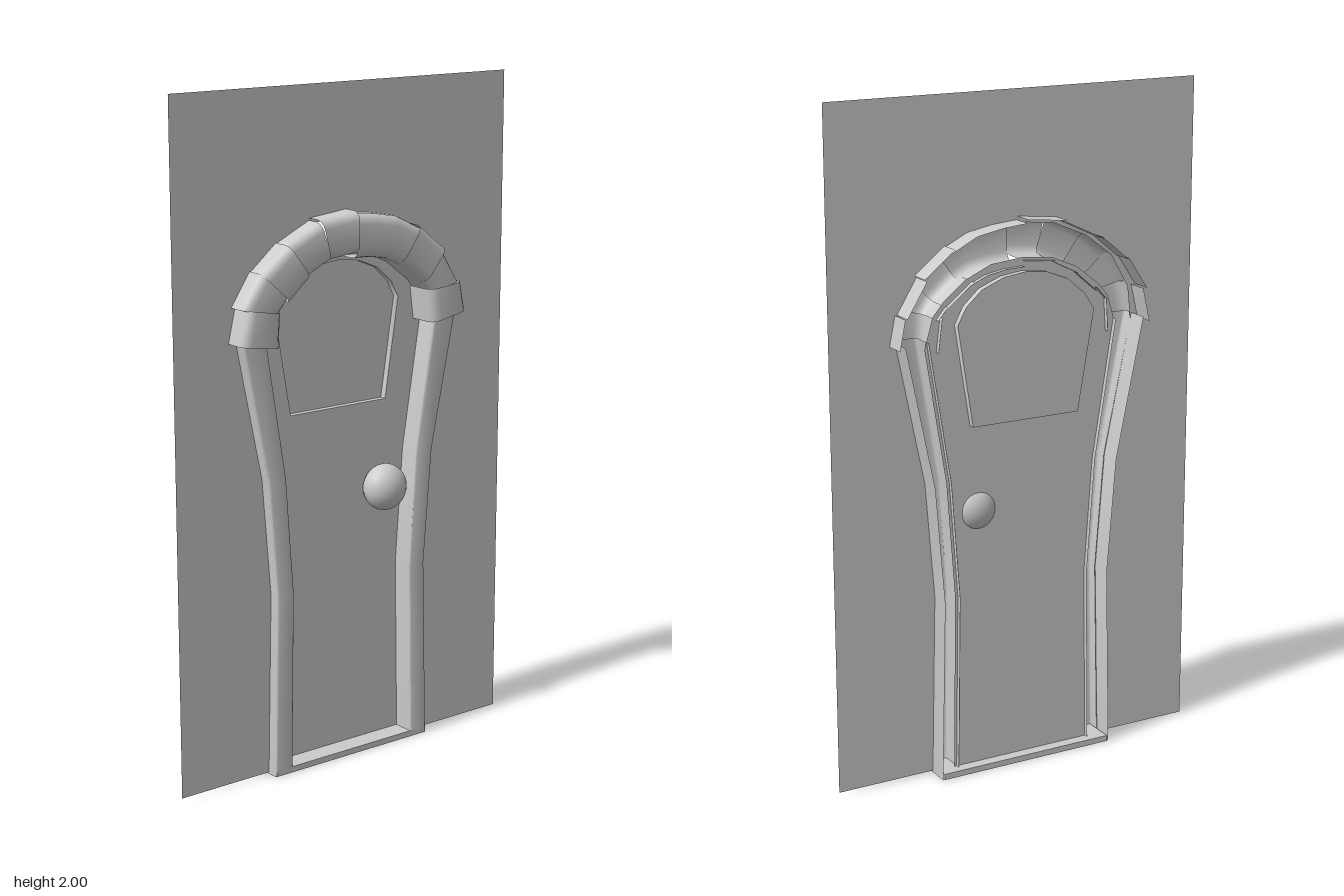
import * as THREE from 'three';
import { toCreasedNormals } from 'three/addons/utils/BufferGeometryUtils.js';

const BACK = -0.07;
const DOOR_Z = -0.035;
const material = new THREE.MeshStandardMaterial({ color: 0xcccccc, side: THREE.DoubleSide });

function addMesh(parent, name, geometry) {
  const mesh = new THREE.Mesh(geometry, material);
  mesh.name = name;
  parent.add(mesh);
  return mesh;
}

// Skin between successive cross-sections of equal point count
function loft(sections) {
  const pos = [];
  const tri = (...pts) => pts.forEach(p => pos.push(...p));
  for (let i = 0; i < sections.length - 1; i++) {
    const a = sections[i], b = sections[i + 1];
    for (let j = 0; j < a.length - 1; j++) {
      tri(a[j], b[j], b[j + 1]);
      tri(a[j], b[j + 1], a[j + 1]);
    }
  }
  const g = new THREE.BufferGeometry();
  g.setAttribute('position', new THREE.Float32BufferAttribute(pos, 3));
  return toCreasedNormals(g, 0.75);
}

// Open-backed profile from an outer edge point to an inner one, front edges rounded:
// round is a fraction of the width, depth is along z
function channel(outer, inner, front, round, depth) {
  const at = (t, z) => [
    outer[0] + (inner[0] - outer[0]) * t,
    outer[1] + (inner[1] - outer[1]) * t, z];
  const corner = [0, 1, 2, 3].map(k => {
    const a = k * Math.PI / 6;
    return [round * (1 - Math.cos(a)), front - depth * (1 - Math.sin(a))];
  });
  return [at(0, BACK), ...corner.map(([t, z]) => at(t, z)),
    ...corner.reverse().map(([t, z]) => at(1 - t, z)), at(1, -0.05)];
}

const toVectors = pts => pts.map(p => new THREE.Vector2(p[0], p[1]));
// Outline running up the left, over the top and down the right
const mirrored = half => [...half.map(([x, y]) => [-x, y]), ...half.slice().reverse()];

export function createModel() {
  const model = new THREE.Group();
  model.name = 'archedDoor';

  // Wall cut away along the outer edge of the surround
  const outerHalf = [[0.283, 0.005], [0.27, 0.55], [0.298, 0.9], [0.383, 1.3], [0.372, 1.4],
    [0.315, 1.5], [0.23, 1.565], [0.12, 1.612], [0, 1.625]];
  const wallOutline = [[-0.59, 0.005], ...mirrored(outerHalf),
    [0.59, 0.005], [0.59, 2], [-0.59, 2]];
  const wall = addMesh(model, 'wall',
    new THREE.ShapeGeometry(new THREE.Shape(toVectors(wallOutline))));
  wall.position.z = -0.004;

  // Set-back door panel with a recessed arched window
  const doorHalf = [[0.23, 0.01], [0.222, 0.55], [0.247, 0.9], [0.312, 1.3], [0.285, 1.39],
    [0.25, 1.43], [0.18, 1.485], [0.1, 1.52], [0, 1.53]];
  const windowPoints = [[-0.175, 1.06], [0.17, 1.06], [0.217, 1.36], [0.19, 1.41], [0.14, 1.455],
    [0.07, 1.483], [0, 1.492], [-0.07, 1.485], [-0.14, 1.457], [-0.195, 1.41], [-0.227, 1.36]];
  const door = new THREE.Shape(toVectors(mirrored(doorHalf)));
  door.holes.push(new THREE.Path(toVectors(windowPoints)));
  addMesh(model, 'doorPanel', new THREE.ShapeGeometry(door)).position.z = DOOR_Z;

  const paneZ = DOOR_Z - 0.02;
  const pane = addMesh(model, 'windowPane',
    new THREE.ShapeGeometry(new THREE.Shape(toVectors(windowPoints))));
  pane.position.z = paneZ;
  const loop = [...windowPoints, windowPoints[0]];
  addMesh(model, 'windowReveal',
    loft([loop.map(p => [...p, DOOR_Z]), loop.map(p => [...p, paneZ])]));

  // Knob, a slightly flattened ball through the door
  const knob = addMesh(model, 'doorKnob', new THREE.SphereGeometry(0.07, 24, 16));
  knob.scale.z = 0.8;
  knob.position.set(0.143, 0.802, 0);

  // Flared side jambs: height, outer x, inner x
  const jamb = [[0, 0.285, 0.222], [0.55, 0.272, 0.213], [0.9, 0.3, 0.238], [1.32, 0.387, 0.305]];
  for (const side of [-1, 1]) {
    const sections = jamb.map(([y, o, i]) =>
      channel([side * o, y], [side * i, y], 0.03, 0.1, 0.007));
    addMesh(model, side > 0 ? 'leftJamb' : 'rightJamb', loft(sections));
  }

  // Sill
  const sill = addMesh(model, 'sill', new THREE.BoxGeometry(0.56, 0.018, 0.1));
  sill.position.set(0, 0.009, -0.02);

  // Arch stones: front depth, then [outer, inner] edge pairs along each stone
  const stones = [
    [0.068, [[-0.408, 1.305], [-0.278, 1.286]], [[-0.385, 1.405], [-0.272, 1.385]]],
    [0.06, [[-0.398, 1.405], [-0.275, 1.38]], [[-0.335, 1.5], [-0.24, 1.42]]],
    [0.065, [[-0.335, 1.495], [-0.24, 1.41]], [[-0.245, 1.57], [-0.17, 1.47]]],
    [0.055, [[-0.25, 1.565], [-0.178, 1.468]], [[-0.13, 1.622], [-0.09, 1.512]]],
    [0.062, [[-0.13, 1.628], [-0.1, 1.512]], [[0, 1.642], [0, 1.522]]],
    [0.052, [[0, 1.632], [0, 1.505]], [[0.08, 1.625], [0.06, 1.503]],
      [[0.16, 1.61], [0.12, 1.492]], [[0.24, 1.57], [0.17, 1.47]]],
    [0.06, [[0.23, 1.58], [0.16, 1.478]], [[0.325, 1.505], [0.248, 1.41]]],
    [0.055, [[0.318, 1.5], [0.245, 1.415]], [[0.38, 1.4], [0.275, 1.38]]],
    [0.062, [[0.386, 1.4], [0.262, 1.388]], [[0.404, 1.312], [0.275, 1.288]]],
  ];
  const arch = new THREE.Group();
  arch.name = 'stoneArch';
  model.add(arch);
  stones.forEach(([front, ...edges], i) => addMesh(arch, `archStone${i + 1}`,
    loft(edges.map(([o, n]) => channel(o, n, front, 0.22, 0.026)))));

  return model;
}
